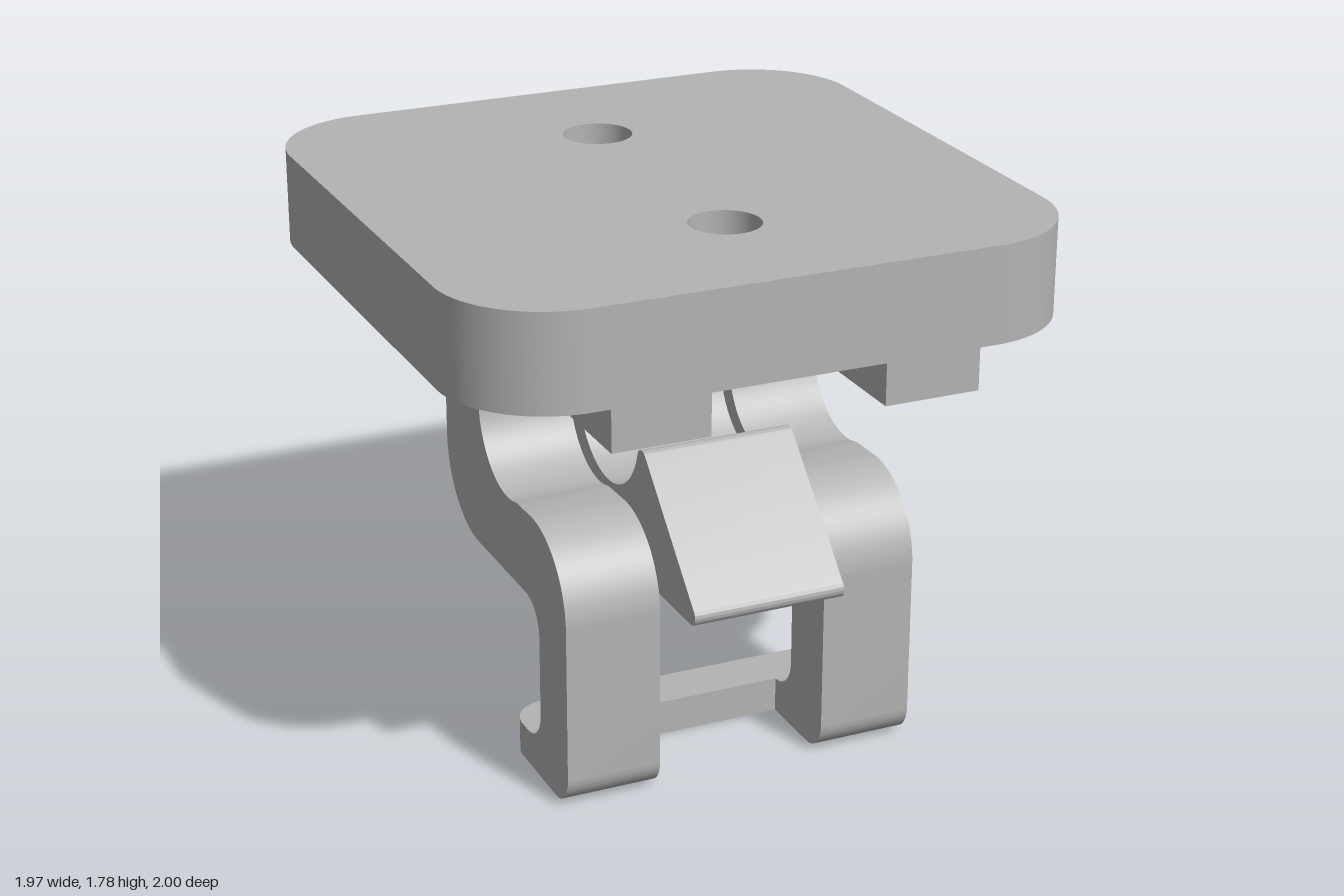
import * as THREE from 'three';
import { toCreasedNormals } from 'three/addons/utils/BufferGeometryUtils.js';

const PI = Math.PI;
const UNDER = 1.47; // underside of the top plate

const extrude = (shape, depth) =>
  new THREE.ExtrudeGeometry(shape, { depth, bevelEnabled: false, curveSegments: 20 });

// Profile drawn in (z, y), extruded sideways and centred on x
function sideways(shape, width, x) {
  const g = extrude(shape, width);
  g.rotateY(-PI / 2);
  g.translate(x + width / 2, 0, 0);
  return g;
}

// Plan drawn in (x, -z), extruded upwards from y
function upwards(shape, height, y) {
  const g = extrude(shape, height);
  g.rotateX(-PI / 2);
  g.translate(0, y, 0);
  return g;
}

// Plan rectangle with rounded back corners and optionally rounded front ones
function plan(w, zBack, zFront, rBack, rFront = 0) {
  const s = new THREE.Shape();
  const back = -zBack, front = -zFront;
  s.moveTo(-w + rFront, front);
  s.lineTo(w - rFront, front);
  if (rFront) s.absarc(w - rFront, front + rFront, rFront, -PI / 2, 0, false);
  s.lineTo(w, back - rBack);
  s.absarc(w - rBack, back - rBack, rBack, 0, PI / 2, false);
  s.lineTo(-w + rBack, back);
  s.absarc(-w + rBack, back - rBack, rBack, PI / 2, PI, false);
  s.lineTo(-w, front + rFront);
  if (rFront) s.absarc(-w + rFront, front + rFront, rFront, PI, PI * 1.5, false);
  return s;
}

// S-shaped side arm with a rail on top, a round notch and a hooked foot
function armProfile() {
  const s = new THREE.Shape();
  s.moveTo(1, UNDER);
  s.lineTo(1, 1.335);
  s.lineTo(0.25, 1.335);
  s.absarc(0.17, 1.105, 0.24, 1.26, 5.02, false);
  s.lineTo(0.37, 0.88);
  s.absarc(0.37, 0.61, 0.27, PI / 2, 0, true);
  s.lineTo(0.64, 0.1);
  s.absarc(0.54, 0.1, 0.1, 0, -PI / 2, true);
  s.lineTo(0.31, 0);
  s.lineTo(0.31, 0.115);
  s.absarc(0.31, 0.225, 0.11, -PI / 2, 0, false);
  s.lineTo(0.42, 0.49);
  s.absarc(0.31, 0.49, 0.11, 0, PI / 2, false);
  s.lineTo(-0.1, 0.6);
  s.absarc(-0.1, 0.87, 0.27, -PI / 2, -PI, true);
  s.lineTo(-0.37, 1.2);
  s.absarc(-0.64, 1.2, 0.27, 0, PI / 2, false);
  return s;
}

// Central latch: ramped hook in front, neck up to the plate
function latchProfile() {
  const s = new THREE.Shape();
  s.moveTo(-0.57, 0.64);
  s.lineTo(0.8, 0.64);
  s.absarc(0.8, 0.67, 0.03, -PI / 2, PI / 4, false);
  s.absarc(0.435, 1.03, 0.035, PI / 4, PI * 0.95, false);
  s.absarc(0.17, 1.105, 0.24, -0.27, -PI, true);
  s.lineTo(-0.07, 1.22);
  s.absarc(0.18, 1.22, 0.25, PI, PI / 2, true);
  s.lineTo(-0.32, UNDER);
  s.lineTo(-0.32, 1.11);
  s.absarc(-0.57, 1.11, 0.25, 0, -PI / 2, true);
  return s;
}

// Fillet behind the neck, cut through by the rear screw hole
function cutFillet() {
  const pos = [], steps = 32;
  const row = (i) => {
    const t = (i / steps) * PI / 2;
    const z = -0.57 + 0.25 * Math.cos(t);
    const w = Math.sqrt(Math.max(0, 0.113 ** 2 - (z + 0.49) ** 2));
    return { z, w, y: 1.22 + 0.25 * Math.sin(t) };
  };
  for (const s of [1, -1]) {
    const quad = (a, b, c, d) => {
      const order = s > 0 ? [a, b, c, a, c, d] : [a, c, b, a, d, c];
      for (const p of order) pos.push(p[0] * s, p[1], p[2]);
    };
    for (let i = 0; i < steps; i++) {
      const a = row(i), b = row(i + 1);
      // curved underside, outer side, hole wall
      quad([a.w, a.y, a.z], [b.w, b.y, b.z], [0.25, b.y, b.z], [0.25, a.y, a.z]);
      quad([0.25, a.y, a.z], [0.25, b.y, b.z], [0.25, UNDER, b.z], [0.25, UNDER, a.z]);
      if (a.w + b.w > 0)
        quad([b.w, b.y, b.z], [a.w, a.y, a.z], [a.w, UNDER, a.z], [b.w, UNDER, b.z]);
    }
  }
  const g = new THREE.BufferGeometry();
  g.setAttribute('position', new THREE.Float32BufferAttribute(pos, 3));
  g.computeVertexNormals();
  return g;
}

export function createModel() {
  const model = new THREE.Group();
  model.name = 'clipMount';
  const grey = new THREE.MeshStandardMaterial({ color: 0xb4b4b4 });
  grey.name = 'grey plastic';

  const add = (name, geometry) => {
    const mesh = new THREE.Mesh(toCreasedNormals(geometry, 0.5), grey);
    mesh.name = name;
    model.add(mesh);
  };

  // Top plate with two screw holes
  const plate = plan(0.985, -1, 1, 0.34, 0.34);
  for (const z of [-0.49, 0.485]) {
    const hole = new THREE.Path();
    hole.absarc(0, -z, 0.113, 0, PI * 2, true);
    plate.holes.push(hole);
  }
  add('topPlate', upwards(plate, 0.31, UNDER));

  // Side arms and the bar joining their feet
  for (const [name, x] of [['leftArm', 0.435], ['rightArm', -0.435]])
    add(name, sideways(armProfile(), 0.31, x));
  add('footBar', upwards(plan(0.59, 0.14, 0.31, 0.12), 0.115, 0));

  // Central latch with its release lever
  add('latch', sideways(latchProfile(), 0.5, 0));
  add('latchFillet', cutFillet());
  add('releaseLever', upwards(plan(0.25, -0.905, -0.57, 0.11), 0.22, 0.64));

  return model;
}
